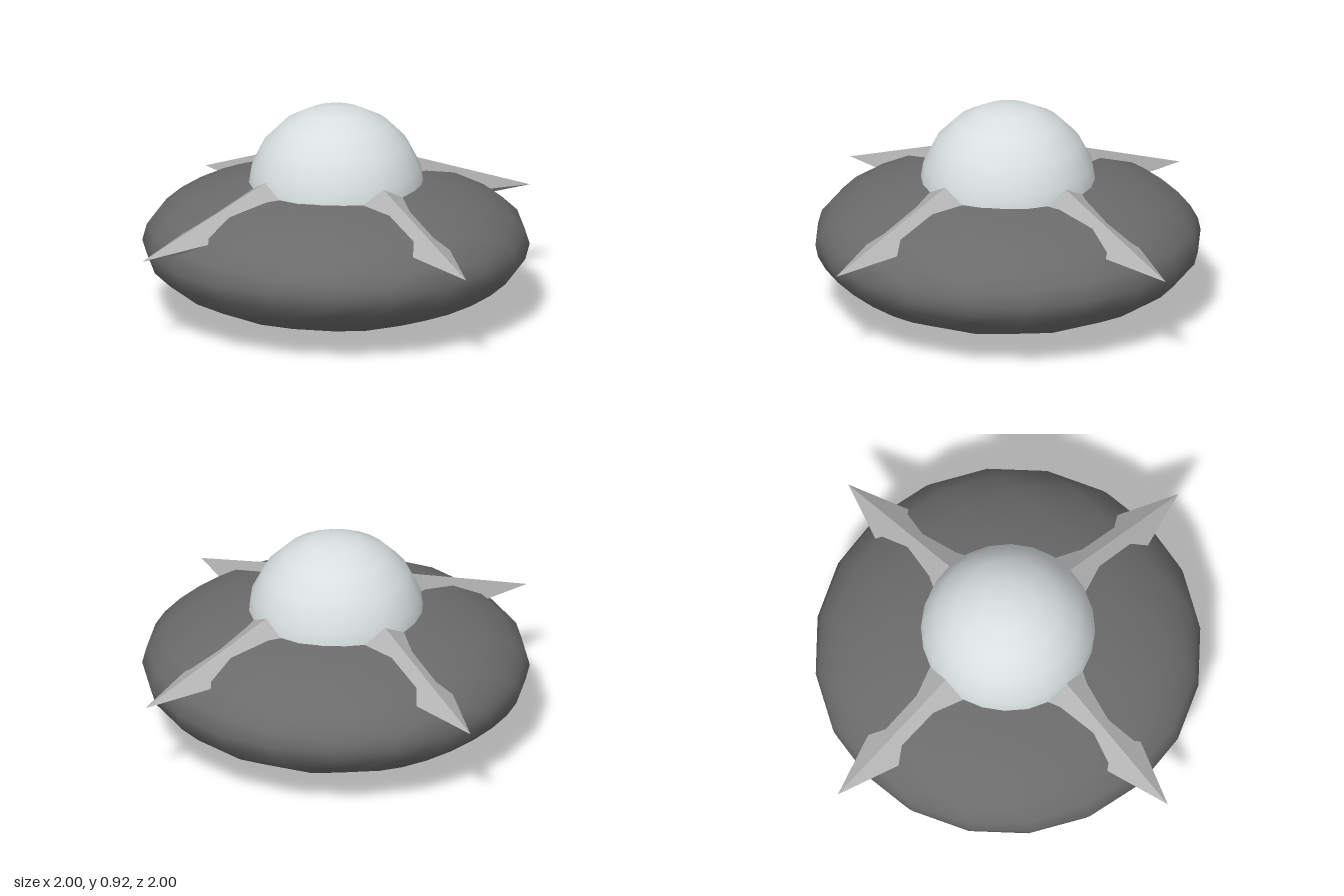
import * as THREE from 'three';

const hullGrey = new THREE.MeshStandardMaterial({ color: 0x6b6b6b });
hullGrey.name = 'hullGrey';
const finGrey = new THREE.MeshStandardMaterial({ color: 0xb0b0b0, flatShading: true });
finGrey.name = 'finGrey';
const domeWhite = new THREE.MeshStandardMaterial({ color: 0xd9dfdf });
domeWhite.name = 'domeWhite';

// Four-sided spike pointing along +x: diamond section tapering to a level tip
function finGeometry() {
  const base = 0.3, tip = 1, tipY = 0.398, len = tip - base;
  const ridge = 0.383 * len, half = 0.355 * len;
  const geometry = new THREE.ConeGeometry(1, 1, 4, 1).toNonIndexed();
  const p = geometry.attributes.position;
  for (let i = 0; i < p.count; i++) {
    const t = 0.5 - p.getY(i); // 0 at the tip, 1 at the base
    const up = p.getX(i), side = p.getZ(i);
    p.setXYZ(i, tip - len * t, tipY + (ridge / 2) * (t - up), side * half);
  }
  geometry.computeVertexNormals();
  return geometry;
}

export function createModel() {
  const model = new THREE.Group();
  model.name = 'flyingSaucer';
  const add = (name, geometry, material) => {
    const mesh = new THREE.Mesh(geometry, material);
    mesh.name = name;
    model.add(mesh);
    return mesh;
  };

  // Flattened hull, its poles at the front and back
  const hull = new THREE.SphereGeometry(1, 24, 10);
  hull.rotateX(Math.PI / 2).scale(0.83, 0.313, 0.83).translate(0, 0.315, 0);
  add('hull', hull, hullGrey);

  // Dome sunk into the top of the hull
  const dome = new THREE.SphereGeometry(0.382, 24, 10);
  dome.translate(0, 0.538, 0);
  add('dome', dome, domeWhite);

  // Four spiked fins radiating from the dome
  const fin = finGeometry();
  ['leftFin', 'backFin', 'rightFin', 'frontFin'].forEach((name, i) => {
    add(name, fin, finGrey).rotation.y = (i * Math.PI) / 2;
  });

  return model;
}
